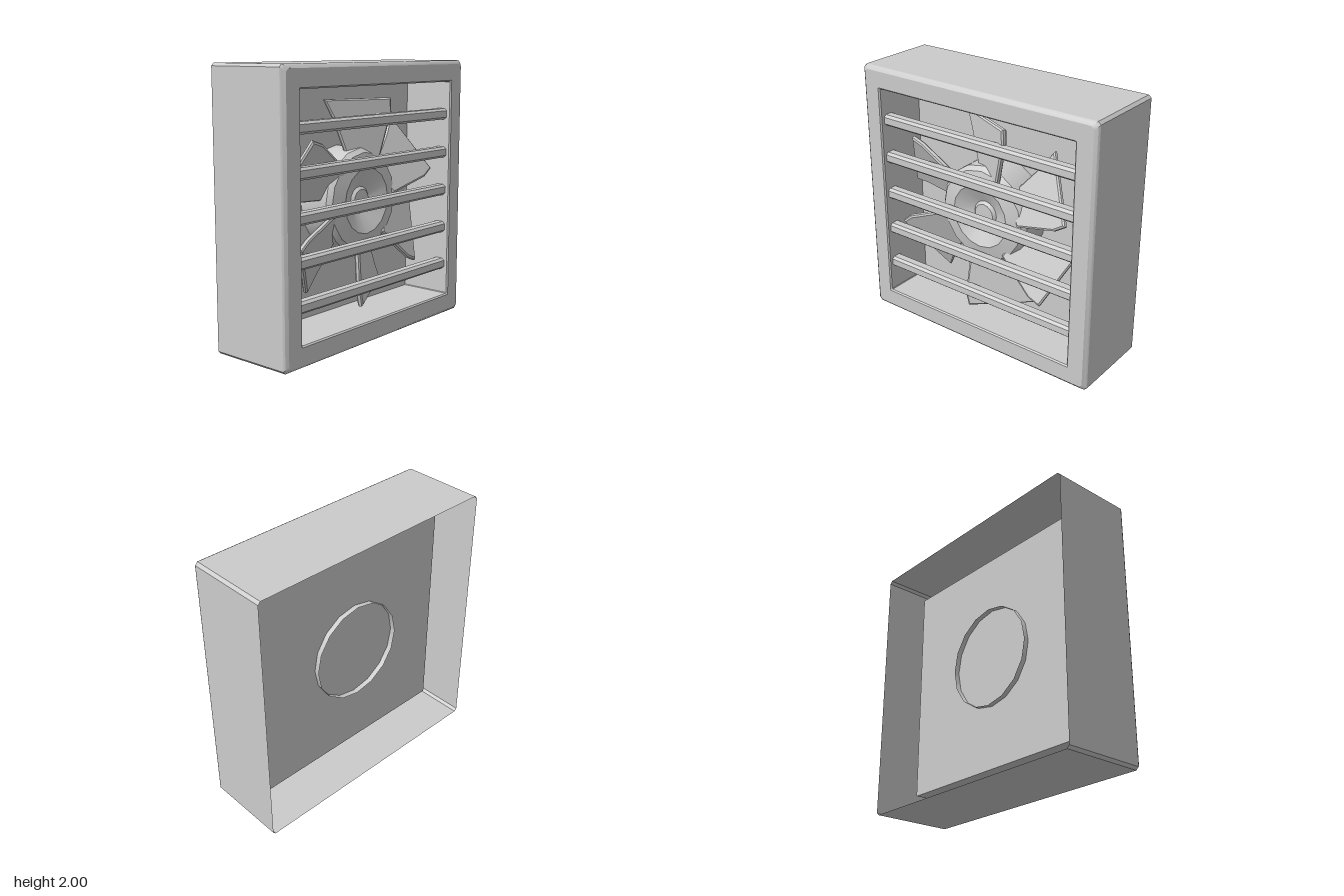
import * as THREE from 'three';
import { toCreasedNormals } from 'three/addons/utils/BufferGeometryUtils.js';

const grey = new THREE.MeshStandardMaterial({ color: 0xcccccc, side: THREE.DoubleSide });

function addMesh(parent, name, geometry, crease = 0.5) {
  const mesh = new THREE.Mesh(toCreasedNormals(geometry, crease), grey);
  mesh.name = name;
  parent.add(mesh);
  return mesh;
}

// Square ring with clipped corners: half size, corner clip, depth
function squareRing([h, c, z]) {
  const k = h - c;
  return [[h, -k], [h, k], [k, h], [-k, h], [-h, k], [-h, -k], [-k, -h], [k, -h]]
    .map(([x, y]) => [x, y, z]);
}

// Skin joining successive rings, closed by a flat cap on the last one
function loftRings(rings) {
  const pos = [];
  const n = rings[0].length;
  for (let i = 0; i < rings.length - 1; i++) {
    for (let j = 0; j < n; j++) {
      const k = (j + 1) % n;
      const a = rings[i][j], b = rings[i][k], c = rings[i + 1][k], d = rings[i + 1][j];
      pos.push(...a, ...b, ...c, ...a, ...c, ...d);
    }
  }
  const last = rings[rings.length - 1];
  for (let j = 1; j < n - 1; j++) pos.push(...last[0], ...last[j], ...last[j + 1]);
  const geometry = new THREE.BufferGeometry();
  geometry.setAttribute('position', new THREE.Float32BufferAttribute(pos, 3));
  geometry.computeVertexNormals();
  return geometry;
}

function shapeFrom(points) {
  return new THREE.Shape(points.map(([x, y]) => new THREE.Vector2(x, y)));
}

export function createModel() {
  const model = new THREE.Group();
  model.name = 'ventilationFan';

  // Built facing +z, then turned so the grille faces +x
  const unit = new THREE.Group();
  unit.name = 'fanUnit';
  unit.rotation.y = Math.PI / 2;
  model.add(unit);

  // Casing: open back, bevelled front frame, recess and its back panel
  const casing = addMesh(unit, 'casing', loftRings([
    [1, 0.02, -0.33], [1, 0.02, 0.295], [0.992, 0.022, 0.309], [0.972, 0.022, 0.325],
    [0.85, 0.005, 0.325], [0.84, 0.005, 0.315], [0.84, 0.005, -0.09],
  ].map(squareRing)));
  casing.position.y = 1;

  // Grille bars with a chamfered section
  const section = shapeFrom([[-0.045, -0.03], [-0.03, -0.042], [0.025, -0.042], [0.045, -0.025],
    [0.045, 0.025], [0.025, 0.042], [-0.03, 0.042], [-0.045, 0.03]]);
  for (let i = 0; i < 5; i++) {
    const geometry = new THREE.ExtrudeGeometry(section, { depth: 1.68, bevelEnabled: false });
    geometry.translate(0, 0, -0.84);
    geometry.rotateY(-Math.PI / 2);
    const bar = addMesh(unit, 'grilleBar', geometry);
    bar.position.set(0, 0.4 + i * 0.2975, 0.245);
  }

  // Rotor: hub and six pitched blades
  const rotor = new THREE.Group();
  rotor.name = 'rotor';
  rotor.position.set(-0.025, 1.01, 0);
  unit.add(rotor);

  // Hub: open-backed drum with a dished nose and a centre boss
  const profile = [[0.385, -0.13], [0.38, 0.14], [0.35, 0.175], [0.24, 0.2],
    [0.1, 0.13], [0.08, 0.15], [0, 0.15]].map(([r, z]) => new THREE.Vector2(r, z));
  addMesh(rotor, 'hub', new THREE.LatheGeometry(profile, 16).rotateX(Math.PI / 2), 0.45);

  // Blades flare outward and lean forward on their clockwise edge
  const outline = shapeFrom([[-0.07, 0.3], [0.16, 0.3], [0.255, 0.63], [0.25, 0.72],
    [-0.25, 0.72], [-0.185, 0.6]]);
  for (const degrees of [90, 30, -26, -79, -144, 159]) {
    const geometry = new THREE.ExtrudeGeometry(outline, {
      depth: 0.02, bevelThickness: 0.01, bevelSize: 0.012, bevelSegments: 1,
    });
    geometry.translate(0, 0, -0.01);
    geometry.rotateY(-0.43);
    const blade = addMesh(rotor, 'blade', geometry);
    blade.position.z = 0.11;
    blade.rotation.z = THREE.MathUtils.degToRad(degrees - 90);
  }

  return model;
}
